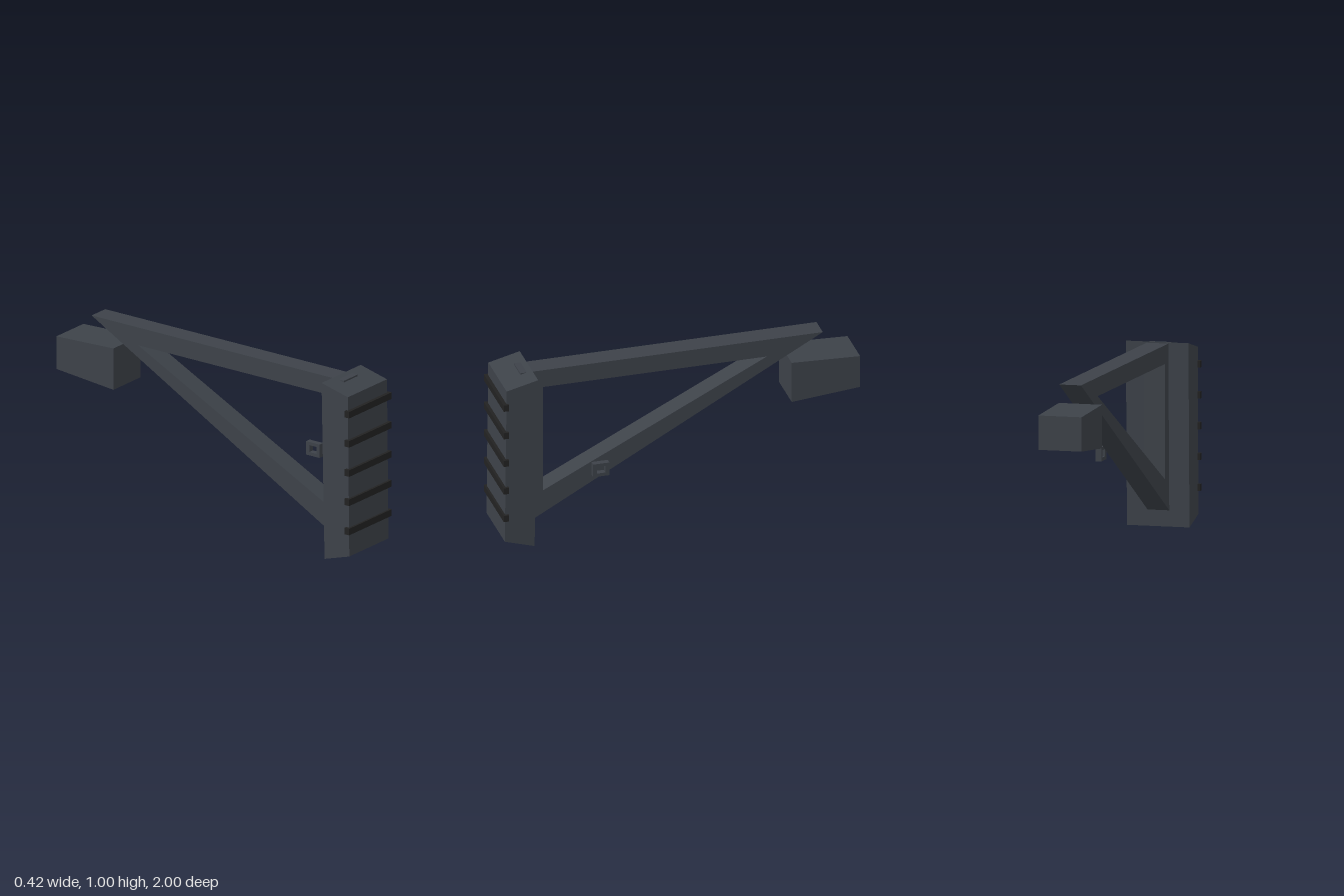
import * as THREE from 'three';

const frameGrey = new THREE.MeshStandardMaterial({ name: 'slate grey', color: 0x3d4249 });
const rubberBlack = new THREE.MeshStandardMaterial({ name: 'rubber black', color: 0x222222 });

// Side profile given as [z, y] points, extruded across x from x0 to x1
function sideExtrude(name, outline, x0, x1, material, hole) {
  const toPoints = (list) => list.map(([z, y]) => new THREE.Vector2(z, y));
  const shape = new THREE.Shape(toPoints(outline));
  if (hole) shape.holes.push(new THREE.Path(toPoints(hole)));
  const geometry = new THREE.ExtrudeGeometry(shape, { depth: x1 - x0, bevelEnabled: false });
  geometry.rotateY(-Math.PI / 2).translate(x1, 0, 0);
  const mesh = new THREE.Mesh(geometry, material);
  mesh.name = name;
  return mesh;
}

export function createModel() {
  const group = new THREE.Group();
  group.name = 'shoulderStock';

  // Slanted shoulder pad
  group.add(sideExtrude('shoulderPad',
    [[0.98, 0.952], [0.805, 0.995], [0.825, 0], [0.99, 0.05]], -0.195, 0.153, frameGrey));

  // Open triangular frame, its top corner just breaking through the pad
  group.add(sideExtrude('triangularFrame',
    [[0.87, 0.988], [-0.81, 0.988], [0.87, 0.062]], -0.083, 0.038, frameGrey,
    [[0.745, 0.887], [-0.5, 0.887], [0.745, 0.265]]));

  // Tapered mounting block
  group.add(sideExtrude('mountingBlock',
    [[-0.62, 0.625], [-0.62, 0.86], [-1, 0.845], [-1, 0.66]], -0.143, 0.097, frameGrey));

  // Sling loop
  group.add(sideExtrude('slingLoop',
    [[0.515, 0.395], [0.515, 0.471], [0.425, 0.471], [0.425, 0.395]], 0.175, 0.207, frameGrey,
    [[0.494, 0.414], [0.494, 0.453], [0.446, 0.453], [0.446, 0.414]]));

  // Grip ribs across the pad
  for (let i = 0; i < 5; i++) {
    const rib = new THREE.Mesh(new THREE.BoxGeometry(0.378, 0.037, 0.03), rubberBlack);
    rib.name = 'gripRib' + (i + 1);
    rib.position.set(-0.021, 0.195 + i * 0.166, 0.985);
    group.add(rib);
  }
  return group;
}
